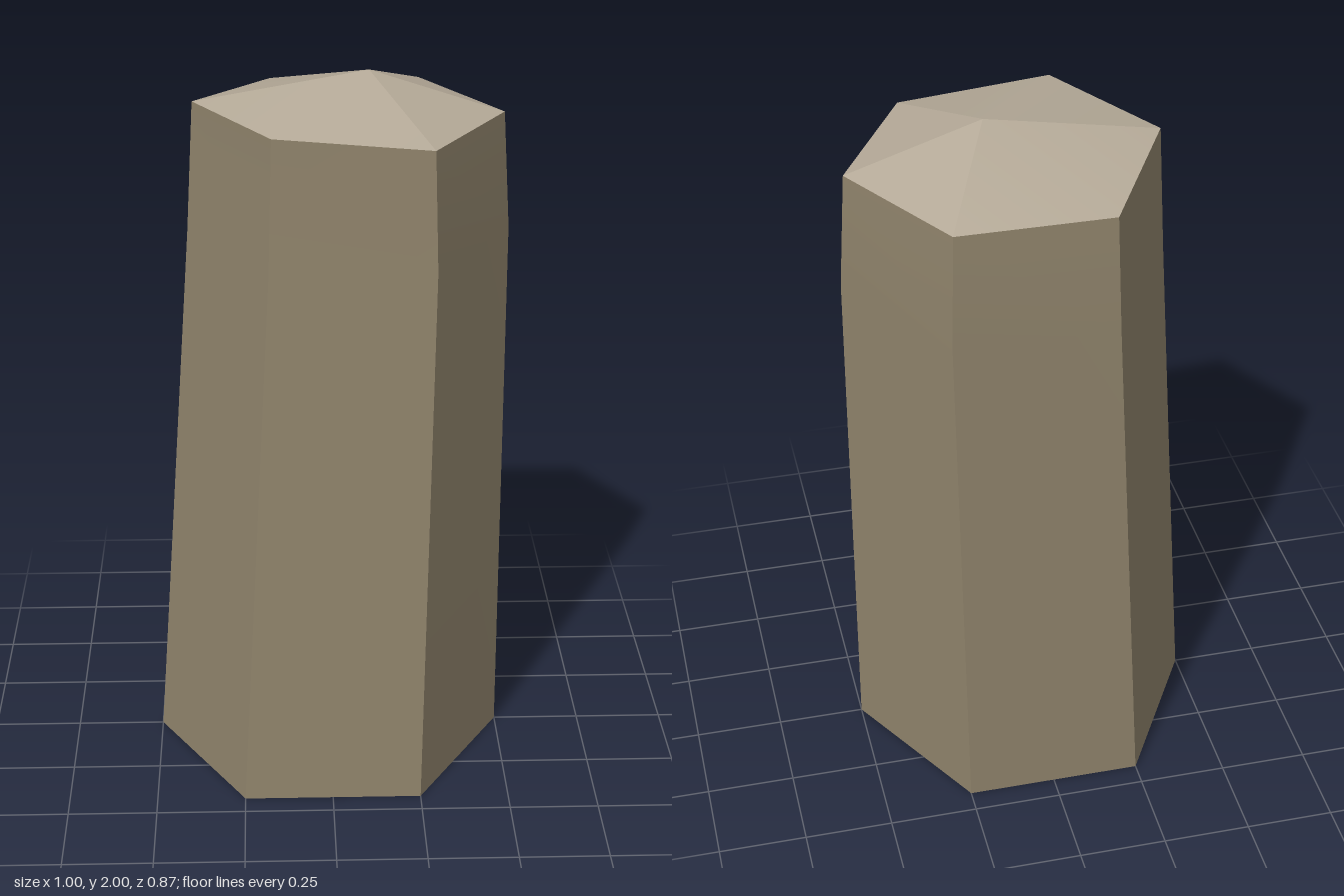
import * as THREE from 'three';

// Hexagonal ring; corners run from +x towards +z
function hexRing(cx, cz, radius, heights) {
  return heights.map((y, i) => {
    const a = (i * Math.PI) / 3;
    return [cx + radius * Math.cos(a), y, cz + radius * Math.sin(a)];
  });
}

// One smooth patch: shared corners inside it, hard edges around it
function patch(name, points, index, material) {
  const g = new THREE.BufferGeometry();
  g.setAttribute('position', new THREE.Float32BufferAttribute(points.flat(), 3));
  g.setIndex(index);
  g.computeVertexNormals();
  const mesh = new THREE.Mesh(g, material);
  mesh.name = name;
  return mesh;
}

export function createModel() {
  const model = new THREE.Group();
  model.name = 'hexagonalStoneColumn';
  const sideStone = new THREE.MeshStandardMaterial({ color: 0x8f836b });
  const capStone = new THREE.MeshStandardMaterial({ color: 0xb5aa98 });

  // Leaning shaft that narrows to an uneven rim
  const rings = [
    hexRing(0, 0, 0.5, Array(6).fill(0)),
    hexRing(0.055, -0.04, 0.447, Array(6).fill(1.55)),
    hexRing(0.055, -0.04, 0.427, [1.88, 1.88, 1.915, 1.915, 1.88, 1.88]),
  ];
  const rim = rings[2];

  // Six side panels, each softly bent near the top
  const shaft = new THREE.Group();
  shaft.name = 'shaft';
  for (let i = 0; i < 6; i++) {
    const j = (i + 1) % 6;
    const points = rings.flatMap((r) => [r[i], r[j]]);
    shaft.add(patch('sidePanel', points, [0, 2, 3, 0, 3, 1, 2, 4, 5, 2, 5, 3], sideStone));
  }
  model.add(shaft);

  // Off-centre pointed cap, in groups of neighbouring facets
  const cap = new THREE.Group();
  cap.name = 'cap';
  const apex = [0.11, 2, -0.04];
  for (const facets of [[0], [1, 2], [3, 4], [5]]) {
    const corners = [...facets, facets[facets.length - 1] + 1].map((i) => rim[i % 6]);
    const index = facets.flatMap((_, k) => [0, k + 2, k + 1]);
    cap.add(patch('capFacet', [apex, ...corners], index, capStone));
  }
  model.add(cap);

  // Flat underside
  const baseIndex = [1, 2, 3, 4].flatMap((k) => [0, k, k + 1]);
  model.add(patch('base', rings[0], baseIndex, sideStone));

  return model;
}
